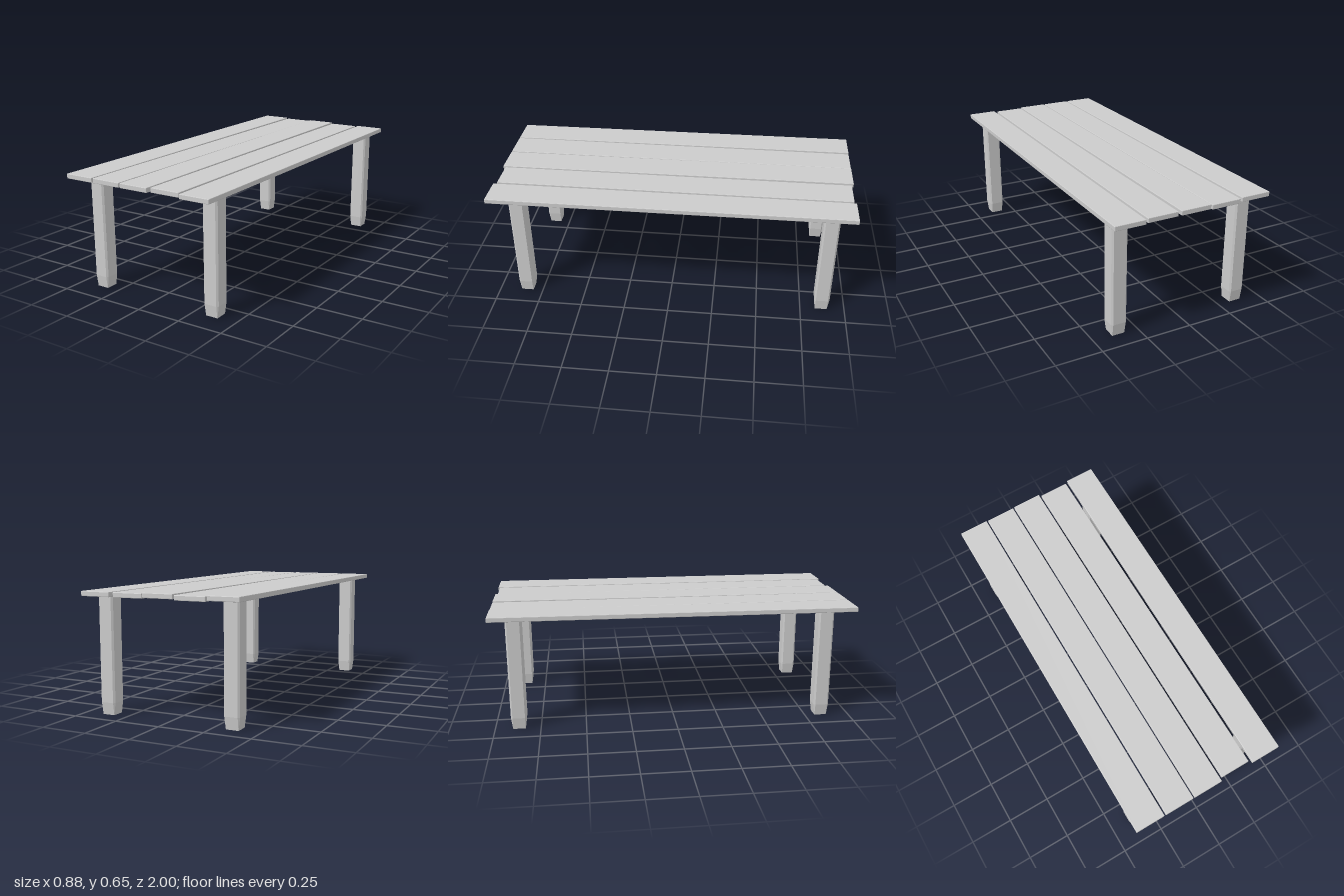
import * as THREE from 'three';
import { RoundedBoxGeometry } from 'three/addons/geometries/RoundedBoxGeometry.js';

const material = new THREE.MeshStandardMaterial({ color: 0xcccccc, flatShading: true });

// Square outline with cut corners, counter-clockwise seen from above
function ring(half, cut, y) {
  const a = half, b = half - cut;
  return [[a, b], [b, a], [-b, a], [-a, b], [-a, -b], [-b, -a], [b, -a], [a, -b]]
    .map(([x, z]) => [x, y, z]);
}

// Post with chamfered edges that narrows to a sharp square foot
function legGeometry() {
  const rings = [ring(0.034, 0.0005, 0), ring(0.043, 0.009, 0.065), ring(0.043, 0.009, 0.624)];
  const n = 8, index = [];
  for (let r = 0; r < rings.length - 1; r++) {
    for (let i = 0; i < n; i++) {
      const a = r * n + i, b = r * n + (i + 1) % n;
      index.push(a, a + n, b, b, a + n, b + n);
    }
  }
  // Foot and top caps
  const top = (rings.length - 1) * n;
  for (let i = 1; i < n - 1; i++) {
    index.push(0, i, i + 1, top, top + i + 1, top + i);
  }
  const geo = new THREE.BufferGeometry();
  geo.setAttribute('position', new THREE.Float32BufferAttribute(rings.flat(2), 3));
  geo.setIndex(index);
  const flat = geo.toNonIndexed();
  flat.computeVertexNormals();
  return flat;
}

export function createModel() {
  const table = new THREE.Group();
  table.name = 'plankTable';

  // Tabletop planks: centre x, length, centre z, height rise from front to back
  const planks = [
    [-0.358, 2.0, 0, 0.005],
    [-0.181, 2.0, 0, 0],
    [-0.005, 2.0, 0, 0.005],
    [0.174, 1.972, -0.003, 0],
    [0.357, 2.0, 0, 0.001],
  ];
  planks.forEach(([x, length, z, rise], i) => {
    const plank = new THREE.Mesh(new RoundedBoxGeometry(0.168, 0.026, length, 1, 0.003), material);
    plank.name = `plank${i + 1}`;
    plank.position.set(x, 0.634 + rise / 2, z);
    plank.rotation.x = rise / length;
    table.add(plank);
  });

  // Four legs
  const geometry = legGeometry();
  for (const [side, x] of [['Right', -0.354], ['Left', 0.361]]) {
    for (const [end, z] of [['front', 0.84], ['back', -0.868]]) {
      const leg = new THREE.Mesh(geometry, material);
      leg.name = `${end}${side}Leg`;
      leg.position.set(x, 0, z);
      table.add(leg);
    }
  }
  return table;
}
